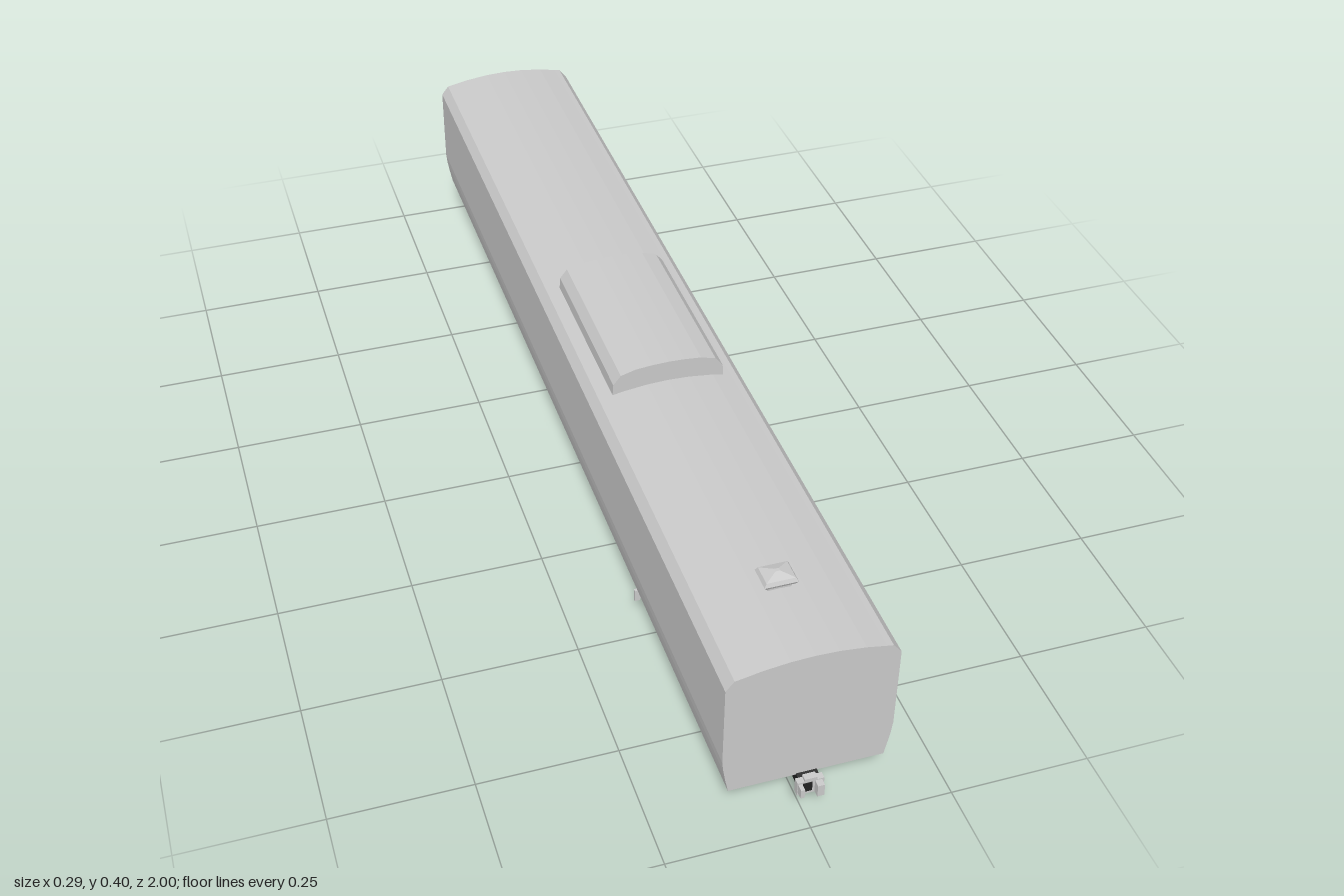
import * as THREE from 'three';

function flat(name, color) {
  const material = new THREE.MeshStandardMaterial({ color });
  material.name = name;
  return material;
}
const grey = flat('light grey', 0xcacaca);
const black = flat('coupler black', 0x222222);

function add(parent, name, geometry, x = 0, y = 0, z = 0, material = grey) {
  const mesh = new THREE.Mesh(geometry, material);
  mesh.name = name;
  mesh.position.set(x, y, z);
  parent.add(mesh);
  return mesh;
}

const box = (w, h, d) => new THREE.BoxGeometry(w, h, d);
const cylX = (r, length, n = 16) => new THREE.CylinderGeometry(r, r, length, n).rotateZ(Math.PI / 2);
const cylZ = (r, length, n = 16) => new THREE.CylinderGeometry(r, r, length, n).rotateX(Math.PI / 2);
const points = list => list.map(([x, y]) => new THREE.Vector2(x, y));

// Extrude half an outline (x >= 0, listed bottom to top), mirrored across x = 0
function mirrored(half, depth) {
  const other = half.filter(p => p[0] > 0).reverse().map(([x, y]) => [-x, y]);
  const shape = new THREE.Shape(points([...half, ...other]));
  return new THREE.ExtrudeGeometry(shape, { depth, bevelEnabled: false }).translate(0, 0, -depth / 2);
}

// Extrude a side outline given as [z, y] across the width
function sideways(shape, width) {
  return new THREE.ExtrudeGeometry(shape, { depth: width, bevelEnabled: false })
    .translate(0, 0, -width / 2).rotateY(-Math.PI / 2);
}

// Four-sided tapered block with flat faces; sizes are the full widths in x
function frustum(top, bottom, height, depthRatio) {
  const g = new THREE.CylinderGeometry(top * Math.SQRT1_2, bottom * Math.SQRT1_2, height, 4)
    .rotateY(Math.PI / 4).scale(1, 1, depthRatio).toNonIndexed();
  g.computeVertexNormals();
  return g;
}

function wheelset() {
  const g = new THREE.Group();
  g.name = 'wheelset';
  add(g, 'axle', cylX(0.0125, 0.192));
  for (const s of [-1, 1]) {
    // flange inside, tread outside
    add(g, 'wheelFlange', cylX(0.043, 0.004, 28), s * 0.049);
    add(g, 'wheelTread', cylX(0.039, 0.012, 28), s * 0.055);
  }
  return g;
}

function bogie() {
  const g = new THREE.Group();
  g.name = 'bogie';
  for (const z of [-0.104, 0.104]) {
    const w = wheelset();
    w.position.set(0, 0.045, z);
    g.add(w);
  }
  // side frame with openings beside the springs
  const frame = new THREE.Shape(points([
    [0.03, 0.045], [0.055, 0.05], [0.085, 0.036], [0.12, 0.036], [0.124, 0.058], [0.1, 0.07], [0.07, 0.072], [0.04, 0.084],
    [-0.04, 0.084], [-0.07, 0.072], [-0.1, 0.07], [-0.124, 0.058], [-0.12, 0.036], [-0.085, 0.036], [-0.055, 0.05], [-0.03, 0.045],
  ]));
  for (const s of [-1, 1]) {
    frame.holes.push(new THREE.Path(points([[s * 0.034, 0.064], [s * 0.052, 0.06], [s * 0.052, 0.068], [s * 0.036, 0.073]])));
  }
  const frameGeo = sideways(frame, 0.015);
  for (const s of [-1, 1]) {
    add(g, 'sideFrame', frameGeo, s * 0.083);
    add(g, 'springSeat', box(0.04, 0.012, 0.05), s * 0.09, 0.068);
    add(g, 'sideBearer', new THREE.CylinderGeometry(0.033, 0.024, 0.012, 20), s * 0.085, 0.092);
    add(g, 'bearerPost', new THREE.CylinderGeometry(0.016, 0.016, 0.02, 12), s * 0.085, 0.08);
  }
  // cross beam dipping toward the middle
  add(g, 'bolster', mirrored([
    [0, 0.058], [0.045, 0.058], [0.08, 0.066], [0.112, 0.07], [0.112, 0.088], [0.08, 0.088], [0.045, 0.078], [0, 0.077],
  ], 0.075));
  add(g, 'pivot', new THREE.CylinderGeometry(0.02, 0.02, 0.036, 16), 0, 0.094);
  return g;
}

function coupler() {
  const g = new THREE.Group();
  g.name = 'coupler';
  // draft gear thins toward the inner end
  const draft = new THREE.Shape(points([
    [0.83, 0.097], [0.9, 0.086], [0.975, 0.08], [0.975, 0.1], [0.96, 0.104], [0.83, 0.11],
  ]));
  add(g, 'draftGear', sideways(draft, 0.036), 0, 0, 0, black);
  add(g, 'head', box(0.046, 0.028, 0.012), 0, 0.088, 0.981);
  add(g, 'headTop', box(0.022, 0.007, 0.012), 0, 0.104, 0.981);
  // knuckle beside a dark pocket
  add(g, 'pocket', box(0.016, 0.018, 0.003), -0.006, 0.09, 0.9875, black);
  add(g, 'jaw', box(0.012, 0.024, 0.013), 0.013, 0.088, 0.9935);
  add(g, 'knuckle', box(0.007, 0.018, 0.013), -0.0185, 0.09, 0.9935);
  return g;
}

export function createModel() {
  const model = new THREE.Group();
  model.name = 'railwayCoach';

  // Body shell with recessed floor
  add(model, 'body', mirrored([
    [0, 0.108], [0.13, 0.108], [0.13, 0.1], [0.134, 0.1], [0.139, 0.125], [0.143, 0.148], [0.1455, 0.17],
    [0.1455, 0.33], [0.131, 0.348], [0.12, 0.35], [0.085, 0.357], [0.04, 0.3625], [0, 0.364],
  ], 1.932));
  for (const s of [-1, 1]) add(model, 'endSill', box(0.262, 0.01, 0.006), 0, 0.105, s * 0.963);

  // Roof equipment
  add(model, 'roofHousing', mirrored([
    [0, 0.345], [0.106, 0.345], [0.104, 0.375], [0.09, 0.393], [0.062, 0.401], [0.03, 0.404], [0, 0.405],
  ], 0.355), 0, 0, 0.063);
  add(model, 'ventNeck', box(0.04, 0.014, 0.03), 0, 0.366, 0.795);
  add(model, 'ventCapBase', frustum(0.058, 0.05, 0.006, 0.8), 0, 0.375, 0.795);
  add(model, 'ventCapRim', frustum(0.05, 0.058, 0.007, 0.8), 0, 0.3815, 0.795);
  add(model, 'ventCapTop', frustum(0.008, 0.05, 0.006, 0.8), 0, 0.388, 0.795);

  // Running gear
  for (const s of [-1, 1]) {
    const b = bogie();
    b.position.z = s * 0.682;
    model.add(b);
    const c = coupler();
    c.rotation.y = s > 0 ? 0 : Math.PI;
    model.add(c);
  }

  // Underfloor equipment
  add(model, 'batteryBox', box(0.058, 0.086, 0.075), 0.086, 0.067, 0.317);
  add(model, 'equipmentBox', box(0.058, 0.072, 0.08), -0.084, 0.074, 0.17);
  add(model, 'airTank', cylZ(0.016, 0.104), -0.1, 0.081, 0.02);
  for (const z of [-0.01, 0.05]) add(model, 'tankStrap', box(0.01, 0.03, 0.008), -0.1, 0.096, z);
  for (const [x, z] of [[0.054, 0.48], [-0.06, 0.48], [0.05, -0.475]]) {
    add(model, 'brakeCylinder', cylX(0.016, 0.106), x, 0.08, z);
    add(model, 'cylinderBracket', box(0.03, 0.022, 0.008), x, 0.099, z);
  }
  add(model, 'handleRod', box(0.005, 0.05, 0.006), -0.124, 0.085, 0.462);
  add(model, 'handleGrip', box(0.01, 0.024, 0.006), -0.128, 0.068, 0.462);
  return model;
}
